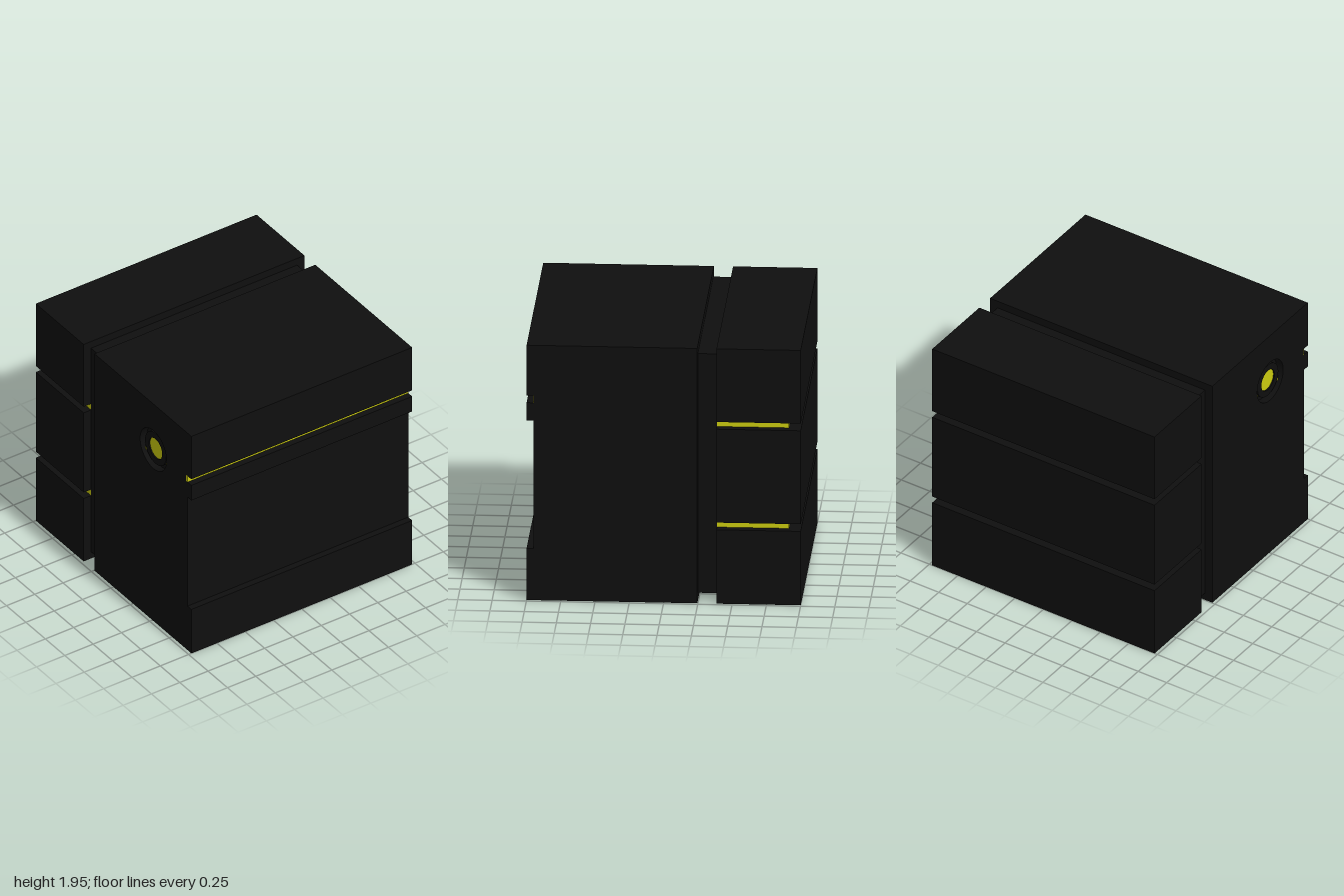
import * as THREE from 'three';

const black = new THREE.MeshStandardMaterial({ color: 0x0f0f0f });
const yellow = new THREE.MeshStandardMaterial({ color: 0xcccc10 });

const W = 0.975, H = 1.95;
const DIAL = { z: 0.51, y: 1.54, r: 0.17 };

export function createModel() {
  const model = new THREE.Group();

  function add(name, geometry, material) {
    const mesh = new THREE.Mesh(geometry, material);
    mesh.name = name;
    model.add(mesh);
    return mesh;
  }

  // Box given by its lower and upper corners
  function block(name, [x0, y0, z0], [x1, y1, z1], material = black) {
    const box = new THREE.BoxGeometry(x1 - x0, y1 - y0, z1 - z0);
    box.translate((x0 + x1) / 2, (y0 + y1) / 2, (z0 + z1) / 2);
    return add(name, box, material);
  }

  // Extrude a (z, y) side profile across x, from x0 to x1
  function sideExtrude(shape, x0, x1) {
    const geo = new THREE.ExtrudeGeometry(shape, { depth: x1 - x0, bevelEnabled: false, curveSegments: 32 });
    return geo.rotateY(-Math.PI / 2).translate(x1, 0, 0);
  }

  // Front housing: stepped front with a recessed panel and a light groove
  const profile = () => new THREE.Shape([
    [-0.245, 0], [1, 0], [1, 0.395], [0.95, 0.395], [0.95, 1.375], [1, 1.375],
    [1, 1.51], [0.945, 1.51], [0.945, 1.565], [1, 1.565], [1, H], [-0.245, H],
  ].map(([z, y]) => new THREE.Vector2(z, y)));
  const recessX = -W + 0.06;
  add('frontHousing', sideExtrude(profile(), recessX, W), black);

  // Side plate with the round opening
  const plate = profile();
  plate.holes.push(new THREE.Path().absarc(DIAL.z, DIAL.y, DIAL.r, 0, Math.PI * 2, true));
  add('sidePlate', sideExtrude(plate, -W, recessX), black);

  // Light strip in the front groove
  block('frontLightStrip', [-W, 1.51, 0.93], [W, 1.565, 0.95], yellow);

  // Recessed socket: dark ring, bright centre and three small pins
  const ring = new THREE.Shape().absarc(DIAL.z, DIAL.y, 0.135, 0, Math.PI * 2, false);
  ring.holes.push(new THREE.Path().absarc(DIAL.z, DIAL.y, 0.085, 0, Math.PI * 2, true));
  add('socketRing', sideExtrude(ring, -W + 0.02, recessX), black);

  function peg(name, r, z, y, xTop) {
    const geo = new THREE.CylinderGeometry(r, r, recessX - xTop, r > 0.05 ? 32 : 12);
    geo.rotateZ(Math.PI / 2).translate((xTop + recessX) / 2, y, z);
    add(name, geo, yellow);
  }
  peg('socketCentre', 0.085, DIAL.z, DIAL.y, -W + 0.03);
  for (let i = 0; i < 3; i++) {
    const a = Math.PI / 2 + (i * Math.PI * 2) / 3;
    peg('socketPin', 0.015, DIAL.z + 0.152 * Math.cos(a), DIAL.y + 0.152 * Math.sin(a), -W + 0.03);
  }

  // Neck joining the front housing and the rear block
  block('neck', [-0.91, 0.06, -0.385], [0.91, 1.89, -0.245]);

  // Rear block: three slabs separated by glowing grooves
  const slabs = [[0, 0.565], [0.62, 1.335], [1.39, H]];
  slabs.forEach(([y0, y1], i) => {
    block('rearSlab', [-W, y0, -1], [W, y1, -0.385]);
    if (i < 2) block('rearLightStrip', [-0.91, y1, -0.91], [0.91, slabs[i + 1][0], -0.385], yellow);
  });

  return model;
}
